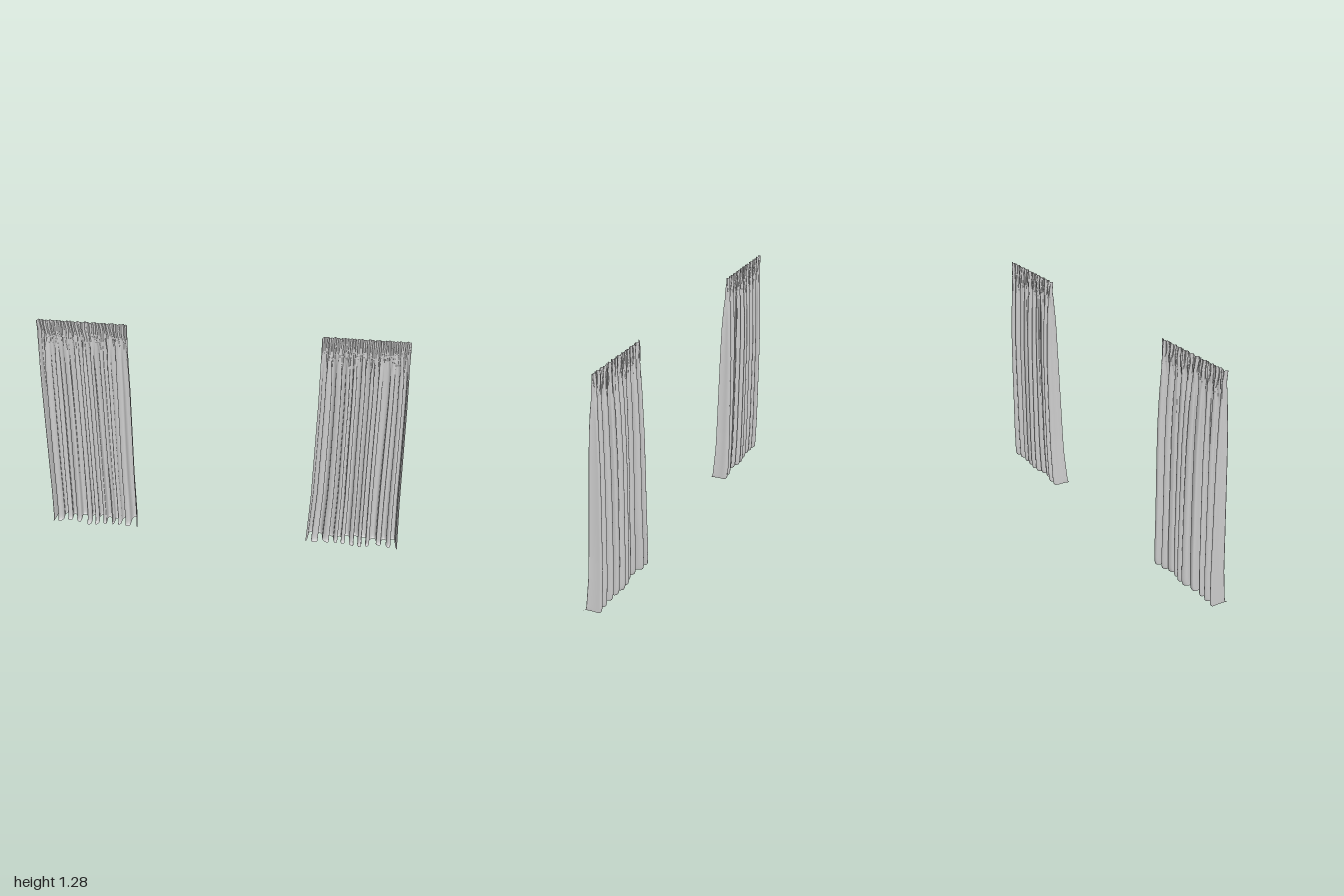
import * as THREE from 'three';

const material = new THREE.MeshStandardMaterial({ color: 0xcccccc, side: THREE.DoubleSide });

// Piecewise-linear lookup in a list of [height, value] rows, heights falling
function lookup(table, y, column) {
  for (let i = 1; i < table.length; i++) {
    const a = table[i - 1], b = table[i];
    if (y >= b[0]) {
      const t = Math.min(1, Math.max(0, (a[0] - y) / (a[0] - b[0])));
      return THREE.MathUtils.lerp(a[column], b[column], t);
    }
  }
  return table[table.length - 1][column];
}

// How far the folds reach: height, front z, back z
const depth = [
  [1.285, -0.025, -0.035], [1.21, -0.024, -0.038], [1.1, -0.013, -0.044],
  [1.0, -0.006, -0.049], [0.8, 0.001, -0.056], [0.6, 0.007, -0.057],
  [0.2, 0.019, -0.056], [0.05, 0.032, -0.053], [0, 0.036, -0.05],
];

// Rows of the cloth from heading to hem: height and forward push on the floor
function clothRows() {
  const rows = [];
  for (let i = 0; i <= 16; i++) rows.push([1.285 - 0.1 * i / 16, 0]);
  for (let i = 1; i <= 50; i++) rows.push([1.185 - 1.155 * i / 50, 0]);
  rows.push([0.018, 0.002], [0.009, 0.006], [0.003, 0.012], [0, 0.024]);
  return rows;
}

// One hanging panel; edges holds rows of height, low x, high x
function curtain(name, edges, folds, seed) {
  const columns = 420, rows = clothRows(), positions = [], index = [];
  rows.forEach(([y, push], r) => {
    const low = lookup(edges, y, 1), high = lookup(edges, y, 2);
    const front = lookup(depth, y, 1), back = lookup(depth, y, 2);
    const open = THREE.MathUtils.smoothstep(1.285 - y, 0.05, 0.3);
    const gather = 1 - THREE.MathUtils.smoothstep(1.285 - y, 0.05, 0.2);
    for (let c = 0; c <= columns; c++) {
      const u = c / columns;
      const edge = Math.min(1, Math.min(u, 1 - u) * 16);
      // Uneven main folds that wander slightly on the way down
      const wander = 0.014 * Math.sin(9 * u + seed) + 0.007 * Math.sin(23 * u + 2 * seed)
        + 0.008 * Math.sin(2.4 * y + 7 * u + seed);
      const phase = 2 * Math.PI * folds * (u + wander * edge);
      const strength = 0.8 + 0.2 * Math.sin(13 * u + 3 * seed);
      const wave = Math.cos(phase) * strength + 0.1 * Math.sin(2.3 * phase + seed);
      let z = (front + back) / 2 + (front - back) / 2 * THREE.MathUtils.clamp(wave, -1, 1);
      // Folds bulge sideways so that they overlap
      let x = THREE.MathUtils.lerp(low, high, u);
      x += edge * open * (0.008 * Math.sin(2 * phase) * strength + 0.003 * Math.sin(phase + 5 * u));
      // Fine puckers gathered by the heading tape
      const fine = 2 * Math.PI * folds * 2.6 * u + 0.7 * Math.sin(55 * y + 17 * u);
      z += gather * 0.004 * Math.sin(fine);
      x += gather * edge * 0.0025 * Math.sin(2 * fine + 40 * y);
      // Hem spreads forward, most at the front of each fold
      z += push * (0.45 + 0.5 * Math.max(0, wave)) * (0.6 + 0.4 * Math.sin(Math.PI * u));
      positions.push(THREE.MathUtils.clamp(x, low, high), y, z);
      if (r > 0 && c > 0) {
        const d = r * (columns + 1) + c, b = d - columns - 1;
        index.push(b - 1, d - 1, b, b, d - 1, d);
      }
    }
  });
  const geometry = new THREE.BufferGeometry();
  geometry.setAttribute('position', new THREE.Float32BufferAttribute(positions, 3));
  geometry.setIndex(index);
  geometry.computeVertexNormals();
  const mesh = new THREE.Mesh(geometry, material);
  mesh.name = name;
  return mesh;
}

export function createModel() {
  const group = new THREE.Group();
  group.name = 'curtains';
  group.add(
    curtain('rightCurtain', [[1.285, -0.995, -0.51], [1.15, -0.995, -0.51], [0.9, -0.998, -0.505],
      [0.3, -1, -0.505], [0, -1, -0.5]], 10, 0.6),
    curtain('leftCurtain', [[1.285, 0.505, 0.957], [1.15, 0.505, 0.96], [0.9, 0.505, 0.97],
      [0.3, 0.495, 0.987], [0, 0.48, 1]], 10, 2.3),
  );
  return group;
}
